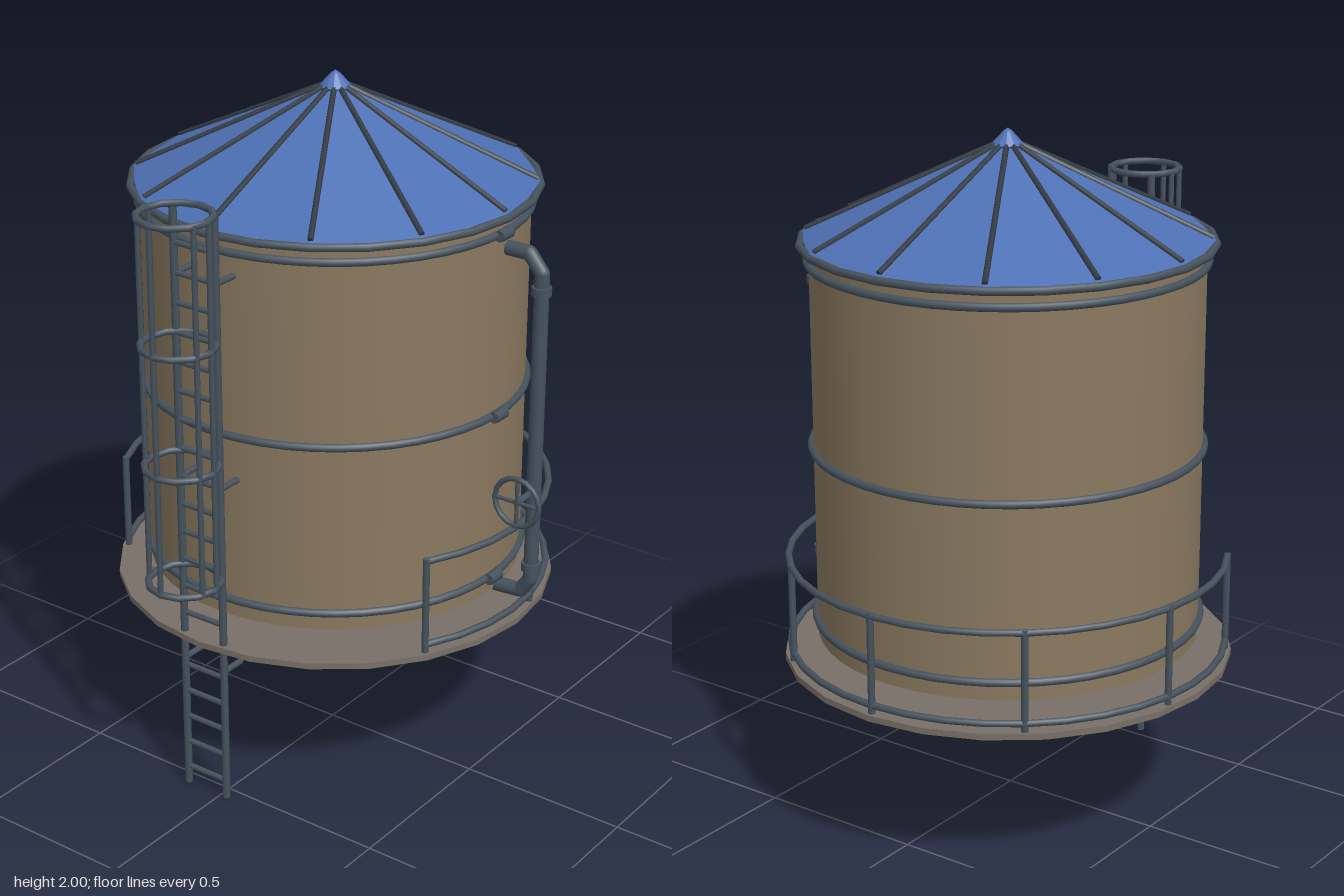
import * as THREE from 'three';

const CX = -0.05, CZ = -0.08; // tank axis
const rad = THREE.MathUtils.degToRad;

export function createModel() {
  const model = new THREE.Group();
  model.name = 'waterTank';

  const mat = (name, color) => {
    const m = new THREE.MeshStandardMaterial({ color });
    m.name = name;
    return m;
  };
  const tan = mat('tankTan', 0x8a7960);
  const blue = mat('roofBlue', 0x4d70b4);
  blue.flatShading = true;
  const steel = mat('darkSteel', 0x46525d);
  const rib = mat('ribSteel', 0x333b43);
  const deck = mat('deckGrey', 0x787067);

  const group = (name, x = 0, y = 0, z = 0) => {
    const g = new THREE.Group();
    g.name = name;
    g.position.set(x, y, z);
    model.add(g);
    return g;
  };
  const add = (parent, name, geo, material, x = 0, y = 0, z = 0) => {
    const m = new THREE.Mesh(geo, material);
    m.name = name;
    m.position.set(x, y, z);
    parent.add(m);
    return m;
  };
  // Round bar between two points
  const bar = (parent, name, a, b, r, material = steel, sides = 8) => {
    const p = new THREE.Vector3(...a), q = new THREE.Vector3(...b);
    const m = add(parent, name, new THREE.CylinderGeometry(r, r, p.distanceTo(q), sides), material);
    m.position.copy(p).lerp(q, 0.5);
    m.quaternion.setFromUnitVectors(new THREE.Vector3(0, 1, 0), q.sub(p).normalize());
    return m;
  };
  // Horizontal ring or arc; angles run from +x towards +z
  const ring = (parent, name, R, r, y, segs, start = 0, sweep = 360) =>
    add(parent, name, new THREE.TorusGeometry(R, r, 8, segs, rad(sweep))
      .rotateZ(rad(start)).rotateX(Math.PI / 2), steel, 0, y, 0);

  // Tank shell with hoops and their clamps
  const tank = group('tank', CX, 0, CZ);
  add(tank, 'tankShell', new THREE.CylinderGeometry(0.548, 0.548, 1.135, 48), tan, 0, 1.1245, 0);
  for (const y of [0.61, 1.115, 1.645]) {
    ring(tank, 'hoop', 0.552, 0.012, y, 48);
    bar(tank, 'hoopClamp', [0.562, y, -0.027], [0.562, y, 0.027], 0.017);
  }

  // Conical roof with ribs, eave ring and cap
  const roof = group('roof', CX, 0, CZ);
  add(roof, 'roofCone', new THREE.ConeGeometry(0.578, 0.27, 12), blue, 0, 1.835, 0);
  ring(roof, 'eaveRing', 0.572, 0.012, 1.692, 24);
  for (let i = 0; i < 12; i++) {
    const c = Math.cos(rad(i * 30)), s = Math.sin(rad(i * 30));
    bar(roof, 'roofRib', [0.03 * c, 1.958, 0.03 * s], [0.563 * c, 1.71, 0.563 * s], 0.008, rib, 6);
  }
  const capProfile = [[0, 1.94], [0.035, 1.94], [0.045, 1.956], [0.012, 1.992], [0, 2]]
    .map(([x, y]) => new THREE.Vector2(x, y));
  add(roof, 'roofCap', new THREE.LatheGeometry(capProfile, 12), blue);

  // Platform and railing, open at the front
  const platform = group('platform', CX, 0, CZ);
  add(platform, 'deckPlate', new THREE.CylinderGeometry(0.645, 0.645, 0.018, 24), deck, 0, 0.493, 0);
  ring(platform, 'handRail', 0.627, 0.01, 0.785, 24, 150, 240);
  ring(platform, 'lowerRail', 0.627, 0.01, 0.525, 24, 150, 240);
  for (let i = 0; i < 7; i++) {
    const a = rad(150 + i * 40), x = 0.627 * Math.cos(a), z = 0.627 * Math.sin(a);
    bar(platform, 'railPost', [x, 0.5, z], [x, 0.793, z], 0.01);
  }

  // Ladder
  const ladder = group('ladder', CX, 0, 0.537);
  for (const x of [-0.07, 0.07]) {
    bar(ladder, 'ladderRail', [x, 0, 0], [x, 1.775, 0], 0.011);
    for (const y of [0.415, 0.985, 1.58]) bar(ladder, 'ladderBracket', [x, y, 0], [x, y, -0.077], 0.009);
  }
  for (let i = 0; i < 20; i++) {
    const y = 0.055 + i * 0.0848;
    bar(ladder, 'rung', [-0.07, y, 0], [0.07, y, 0], 0.008);
  }

  // Safety cage
  const cage = group('ladderCage', CX, 0, 0.612);
  for (const y of [0.715, 1.065, 1.415, 1.775]) ring(cage, 'cageHoop', 0.102, 0.01, y, 12);
  for (const deg of [-8, 22, 90, 158, 188]) {
    const x = 0.102 * Math.cos(rad(deg)), z = 0.102 * Math.sin(rad(deg));
    bar(cage, 'cageBar', [x, 0.71, z], [x, 1.78, z], 0.008);
  }

  // Drain pipe with flanges on the left side
  const pipe = group('drainPipe', 0, 0, -0.125);
  const path = new THREE.CurvePath();
  const pts = [[0.49, 1.59], [0.565, 1.59], [0.607, 1.54], [0.607, 0.615], [0.575, 0.568], [0.49, 0.562]]
    .map(([x, y]) => new THREE.Vector3(x, y, 0));
  for (let i = 0; i < pts.length - 1; i++) {
    bar(pipe, 'pipeRun', pts[i].toArray(), pts[i + 1].toArray(), 0.021, steel, 12);
    if (i > 0) add(pipe, 'pipeElbow', new THREE.SphereGeometry(0.021, 12, 8), steel, ...pts[i].toArray());
  }
  for (const y of [0.655, 1.49]) bar(pipe, 'pipeFlange', [0.607, y - 0.012, 0], [0.607, y + 0.012, 0], 0.028, steel, 12);

  // Valve hand wheel
  const valve = group('valve', 0.607, 0.89, -0.037);
  add(valve, 'wheelRim', new THREE.TorusGeometry(0.072, 0.008, 8, 16), steel);
  bar(valve, 'wheelSpoke', [-0.072, 0, 0], [0.072, 0, 0], 0.006);
  bar(valve, 'wheelSpoke', [0, -0.072, 0], [0, 0.072, 0], 0.006);
  bar(valve, 'valveStem', [0, 0, 0.005], [0, 0, -0.088], 0.01);

  return model;
}
